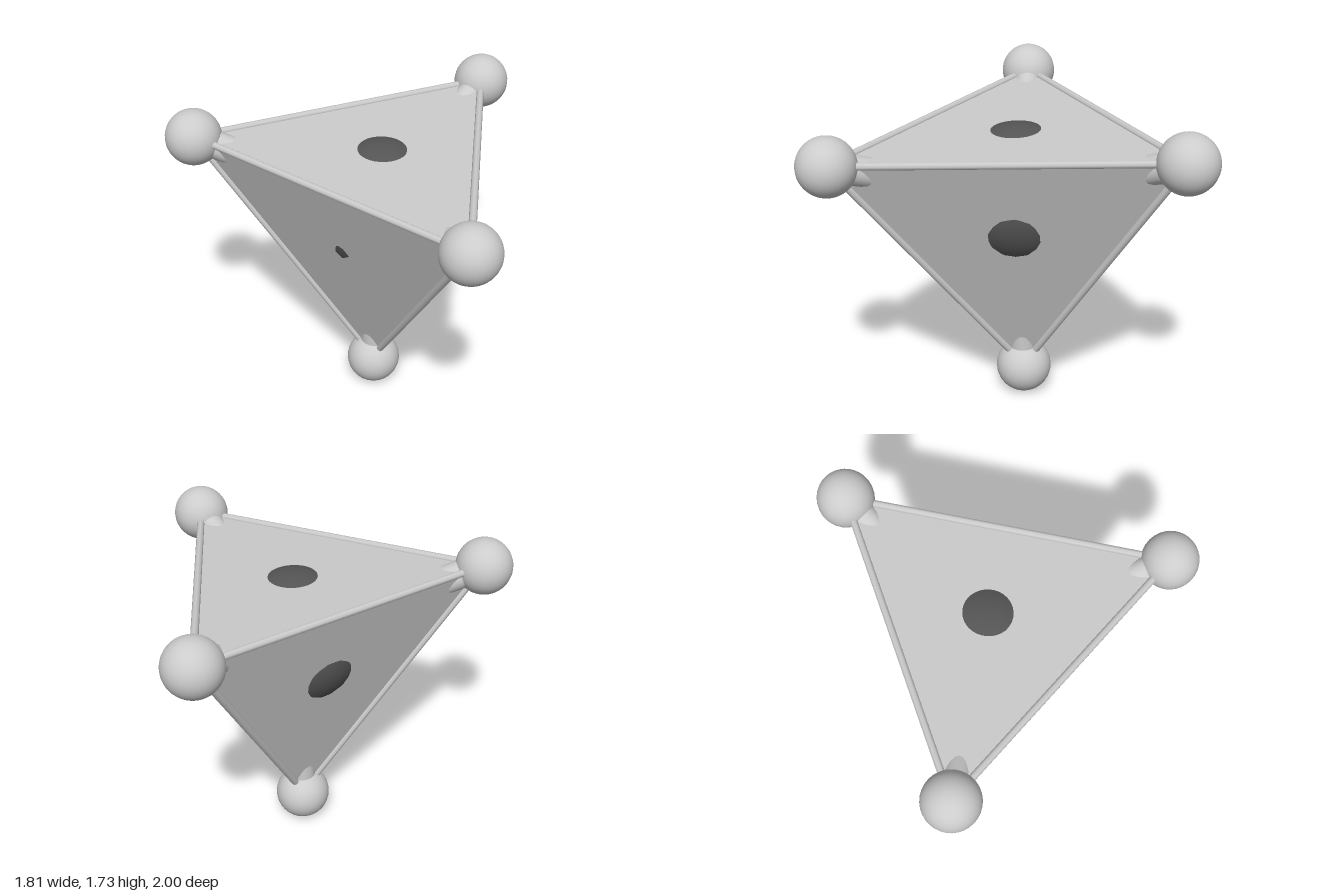
import * as THREE from 'three';

const grey = new THREE.MeshStandardMaterial({ color: 0xcccccc });
const panelGrey = new THREE.MeshStandardMaterial({ color: 0xcccccc, side: THREE.DoubleSide });
const dark = new THREE.MeshStandardMaterial({ color: 0x555555 });

// Corners of the tetrahedron and the centre of the core ball
const corners = [
  new THREE.Vector3(-0.755, 1.555, -0.045),
  new THREE.Vector3(0.75, 1.575, -0.85),
  new THREE.Vector3(0.695, 1.5, 0.85),
  new THREE.Vector3(0.215, 0.15, -0.07),
];
const core = new THREE.Vector3(0.234, 1.2, -0.041);

function ball(name, position, radius, material) {
  const mesh = new THREE.Mesh(new THREE.SphereGeometry(radius, 32, 24), material);
  mesh.name = name;
  mesh.position.copy(position);
  return mesh;
}

// Straight round bar between two points
function bar(name, from, to, radius, sides) {
  const span = to.clone().sub(from);
  const mesh = new THREE.Mesh(new THREE.CylinderGeometry(radius, radius, span.length(), sides), grey);
  mesh.name = name;
  mesh.position.copy(from).addScaledVector(span, 0.5);
  mesh.quaternion.setFromUnitVectors(new THREE.Vector3(0, 1, 0), span.normalize());
  return mesh;
}

// Flat triangular panel, wound to face away from the core
function panel(a, b, c) {
  const normal = b.clone().sub(a).cross(c.clone().sub(a));
  const points = normal.dot(a.clone().sub(core)) > 0 ? [a, b, c] : [a, c, b];
  const geometry = new THREE.BufferGeometry().setFromPoints(points);
  geometry.computeVertexNormals();
  const mesh = new THREE.Mesh(geometry, panelGrey);
  mesh.name = 'facePanel';
  return mesh;
}

export function createModel() {
  const model = new THREE.Group();
  model.name = 'tetrahedralMolecule';

  // Dark core ball, just breaking through the panels
  model.add(ball('coreBall', core, 0.368, dark));

  corners.forEach((corner, i) => {
    // Corner ball and the rod that joins it to the core
    model.add(ball('cornerBall', corner, 0.15, grey));
    model.add(bar('bondRod', corner, core, 0.075, 24));

    // Panel opposite this corner
    model.add(panel(...corners.filter((_, j) => j !== i)));

    // Thin edge bars to the remaining corners
    for (let j = i + 1; j < corners.length; j++) {
      model.add(bar('edgeBar', corner, corners[j], 0.02, 8));
    }
  });

  return model;
}
